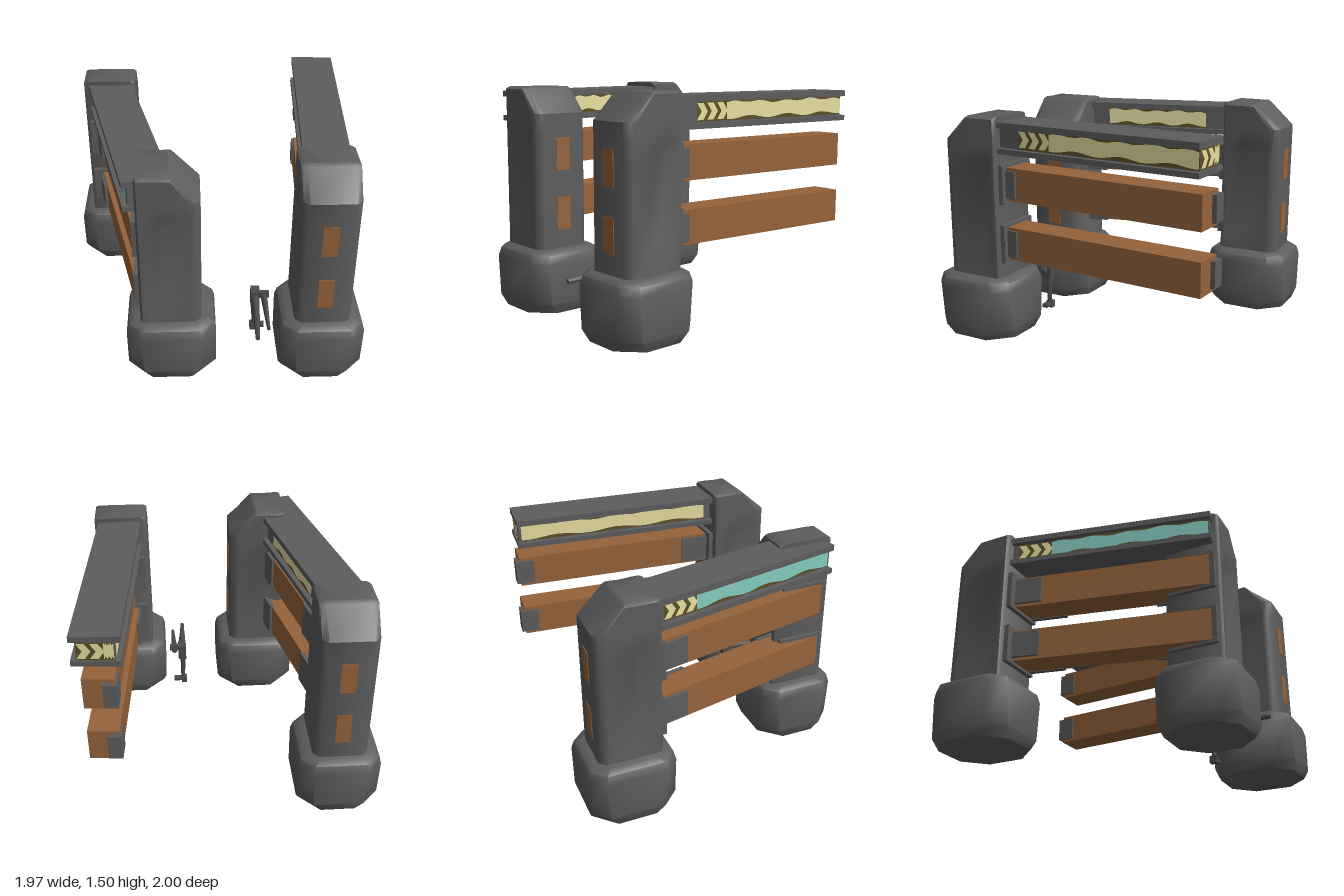
import * as THREE from 'three';
import { toCreasedNormals } from 'three/addons/utils/BufferGeometryUtils.js';

const mat = (name, color) => {
  const m = new THREE.MeshStandardMaterial({ color });
  m.name = name;
  return m;
};

// Skin a stack of closed rings and cap both ends
function loft(rings) {
  const n = rings[0].length, pos = rings.flat(2), idx = [];
  for (let i = 0; i < rings.length - 1; i++)
    for (let j = 0; j < n; j++) {
      const a = i * n + j, b = i * n + (j + 1) % n;
      idx.push(a, a + n, b, b, a + n, b + n);
    }
  const last = rings.length - 1, c = rings.length * n;
  pos.push(0, rings[0][0][1], 0, 0, rings[last][0][1], 0);
  for (let j = 0; j < n; j++) {
    const k = (j + 1) % n;
    idx.push(c, j, k, c + 1, last * n + k, last * n + j);
  }
  const g = new THREE.BufferGeometry();
  g.setAttribute('position', new THREE.Float32BufferAttribute(pos, 3));
  g.setIndex(idx);
  return toCreasedNormals(g, 0.85);
}

// Mirror a right-hand outline, listed back to front, into a ring
const ring = (half, y) => [
  ...half.map(([x, z]) => [x, y, z]),
  ...[...half].reverse().map(([x, z]) => [-x, y, z]),
];

export function createModel() {
  const model = new THREE.Group();
  const stone = mat('dark grey stone', 0x5d5d5d);
  const wood = mat('brown timber', 0x95633b);
  const yellow = mat('pale yellow light', 0xece4a4);
  const teal = mat('teal light', 0x86ccc2);
  const olive = mat('dark olive backing', 0x5c5028);
  const iron = mat('dark iron', 0x4c4c4c);

  const add = (parent, name, geometry, material, x = 0, y = 0, z = 0) => {
    const m = new THREE.Mesh(geometry, material);
    m.name = name;
    m.position.set(x, y, z);
    parent.add(m);
    return m;
  };
  const box = (parent, name, material, w, h, d, x, y, z) =>
    add(parent, name, new THREE.BoxGeometry(w, h, d), material, x, y, z);

  // Chunky octagonal foot
  const footRing = (y, inset, cut) => {
    const w = 0.277 - inset, d = 0.292 - inset;
    return ring([[w - cut, -d], [w, cut - d], [w, d - cut], [w - cut, d]], y);
  };
  const footGeo = loft([
    footRing(0, 0.022, 0.14), footRing(0.07, 0, 0.11), footRing(0.34, 0, 0.09),
    footRing(0.4, 0.015, 0.09), footRing(0.425, 0.055, 0.08),
  ]);

  // Column with a vertical groove in each side and a sloped front at the top
  const columnRing = (y, groove, zFront = 1, inset = 0) => ring(
    [[0.165, -0.21], [0.183, -0.195], [0.183, -0.16], [0.183 - groove, -0.06], [0.183, 0.14],
      [0.178, 0.175], [0.14, 0.21]]
      .map(([x, z]) => [x - inset, z > 0 ? z * zFront : z]), y);
  const columnGeo = loft([
    columnRing(0.4, 0), columnRing(0.44, 0), columnRing(0.57, 0.055), columnRing(1.13, 0.055),
    columnRing(1.21, 0), columnRing(1.33, 0), columnRing(1.485, 0, 0.15), columnRing(1.5, 0.01, 0.06, 0.02),
  ]);
  const railHeights = [0.66, 1.06];

  function post(name, x, z, turn, sx = 1, sz = 1) {
    const g = new THREE.Group();
    g.name = name;
    g.position.set(x, 0, z);
    g.rotation.y = turn;
    add(g, 'foot', footGeo, stone);
    const upper = new THREE.Group();
    upper.name = 'upper post';
    upper.scale.set(sx, 1, sz);
    g.add(upper);
    add(upper, 'column', columnGeo, stone);
    for (const y of railHeights) {
      box(upper, 'timber end', wood, 0.1, 0.22, 0.008, 0, y, 0.21);
      box(upper, 'mount plate', stone, 0.31, 0.26, 0.035, 0, y, -0.225);
    }
    model.add(g);
  }
  post('right front post', 0.705, 0.704, 0);
  post('middle front post', -0.28, 0.69, Math.PI / 2, 1.06, 0.94);
  post('rear post', -0.708, -0.705, Math.PI);

  // Light strip running along +x: optional chevrons, then a ragged band
  function lightStrip(parent, from, to, bandMat, chevrons, x, z, turn) {
    const g = new THREE.Group();
    g.name = 'light strip';
    g.position.set(x, 1.368, z);
    g.rotation.y = turn;
    parent.add(g);
    const back = new THREE.PlaneGeometry(to - from, 0.125);
    add(g, 'strip backing', back, olive, (from + to) / 2, 0, 0.002);
    const h = 0.052;
    const chevron = new THREE.ShapeGeometry(new THREE.Shape(
      [[0, h], [0.05, h], [0.085, 0], [0.05, -h], [0, -h], [0.035, 0]]
        .map(p => new THREE.Vector2(...p))));
    for (let i = 0; i < chevrons; i++)
      add(g, 'chevron', chevron, yellow, from + i * 0.08, 0, 0.005);
    const start = from + 0.08 * chevrons, steps = 22, top = [], bottom = [];
    for (let i = 0; i <= steps; i++) {
      const t = i / steps, u = start + (to - start) * t;
      top.push(new THREE.Vector2(u, 0.05 + 0.007 * Math.sin(i * 1.3) + 0.004 * Math.sin(i * 0.5)));
      bottom.unshift(new THREE.Vector2(u, -0.046 - 0.01 * Math.sin(i * 0.9 + 1)));
    }
    add(g, 'light band', new THREE.ShapeGeometry(new THREE.Shape([...top, ...bottom])),
      bandMat, 0, 0, 0.005);
  }

  // Fence span: flanged top beam over two timber rails, running along local -z
  function span(name, x, z, turn, length) {
    const g = new THREE.Group();
    g.name = name;
    g.position.set(x, 0, z);
    g.rotation.y = turn;
    model.add(g);
    box(g, 'top flange', stone, 0.3, 0.04, length, 0, 1.45, -length / 2);
    box(g, 'bottom flange', stone, 0.3, 0.035, length, 0, 1.283, -length / 2);
    box(g, 'beam web', stone, 0.23, 0.14, length - 0.02, 0, 1.367, -length / 2);
    for (const y of railHeights)
      box(g, 'timber rail', wood, 0.2, 0.22, length, 0, y, -length / 2);
    return g;
  }
  const side = Math.PI / 2;

  const open = span('open span', 0.71, 0.5, -0.0667, 1.47);
  lightStrip(open, 0.17, 1.455, yellow, 3, 0.115, 0, side);
  lightStrip(open, 0.02, 1.4, yellow, 0, -0.115, -1.46, -side);
  lightStrip(open, -0.11, 0.11, yellow, 2, 0, -1.46, Math.PI);
  for (const y of railHeights) {
    box(open, 'outer near bracket', stone, 0.06, 0.18, 0.1, 0.085, y, -0.07);
    box(open, 'inner near bracket', stone, 0.06, 0.19, 0.22, -0.085, y, -0.12);
    box(open, 'far bracket', stone, 0.09, 0.17, 0.13, -0.07, y, -1.435);
  }

  const joined = span('joined span', -0.404, 0.827, 0.221, 1.41);
  lightStrip(joined, 0.44, 1.18, yellow, 0, 0.115, 0, side);
  lightStrip(joined, 0.06, 1.38, teal, 3, -0.115, -1.4, -side);
  for (const y of railHeights) {
    box(joined, 'inner near bracket', stone, 0.03, 0.23, 0.41, 0.1, y, -0.21);
    box(joined, 'inner far bracket', stone, 0.03, 0.23, 0.35, 0.1, y, -1.22);
    box(joined, 'outer far bracket', stone, 0.06, 0.18, 0.24, -0.09, y, -1.285);
  }

  // Small lever stand between the front posts
  const stand = new THREE.Group();
  stand.name = 'lever stand';
  model.add(stand);
  const bar = (name, a, b, r1, r2) => {
    const p = new THREE.Vector3(...a), q = new THREE.Vector3(...b), d = q.clone().sub(p);
    const m = add(stand, name, new THREE.CylinderGeometry(r2, r1, d.length(), 6), iron);
    m.position.copy(p).addScaledVector(d, 0.5);
    m.quaternion.setFromUnitVectors(new THREE.Vector3(0, 1, 0), d.normalize());
  };
  bar('stand leg', [0.295, 0.04, 0.5], [0.29, 0.3, 0.5], 0.016, 0.024);
  box(stand, 'stand head', iron, 0.06, 0.12, 0.08, 0.295, 0.325, 0.51);
  box(stand, 'stand heel', iron, 0.04, 0.05, 0.05, 0.285, 0.055, 0.5);
  box(stand, 'stand toe', iron, 0.07, 0.025, 0.04, 0.33, 0.06, 0.5);
  box(stand, 'cross link', iron, 0.1, 0.04, 0.035, 0.34, 0.35, 0.52);
  bar('long lever', [0.295, 0.33, 0.52], [0.29, 0.31, 0.75], 0.034, 0.024);
  bar('long lever tip', [0.29, 0.31, 0.74], [0.285, 0.3, 0.92], 0.022, 0.016);
  bar('short lever', [0.355, 0.34, 0.49], [0.365, 0.3, 0.83], 0.026, 0.012);

  return model;
}
